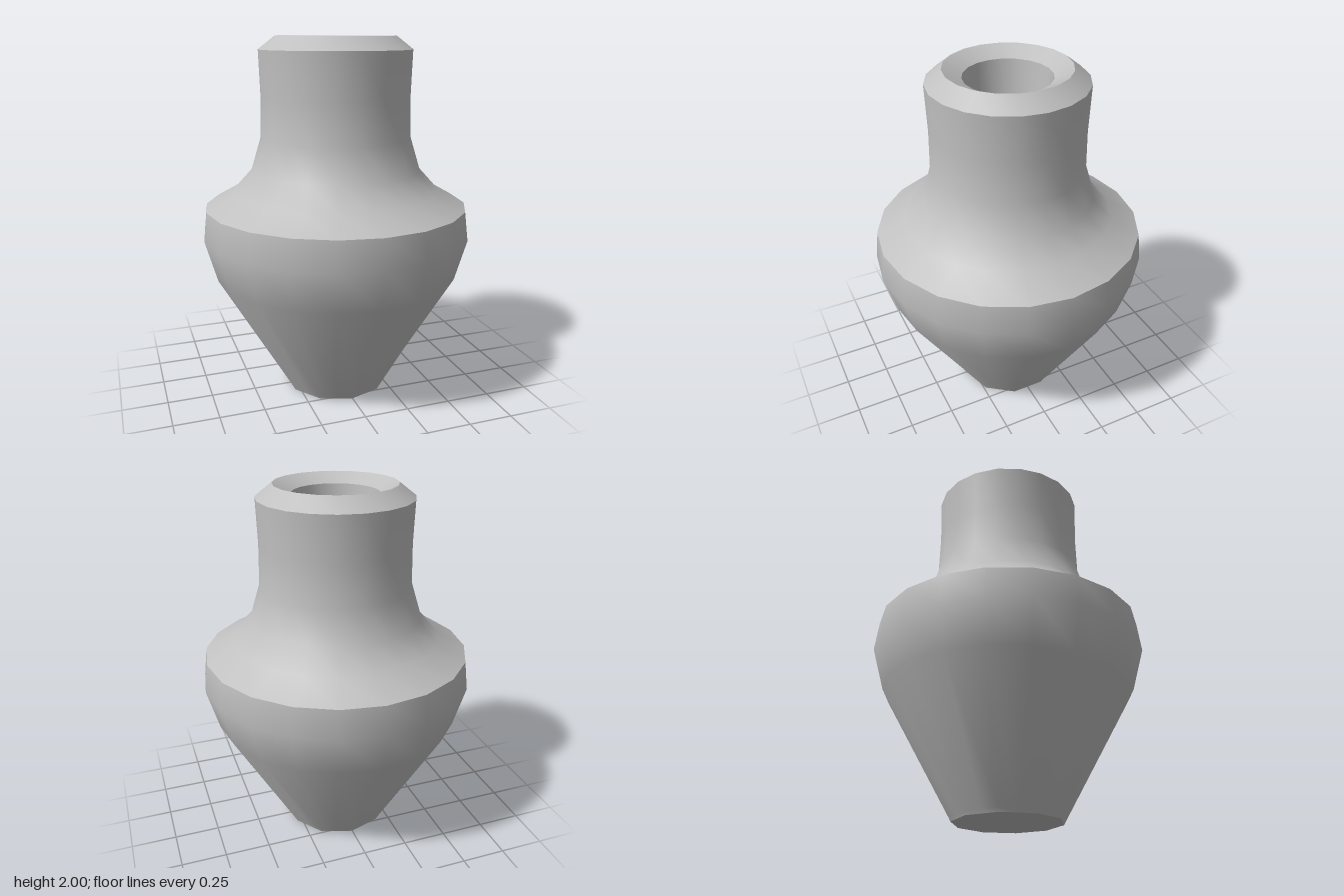
import * as THREE from 'three';
import { toCreasedNormals } from 'three/addons/utils/BufferGeometryUtils.js';

const SIDES = 20;

export function createModel() {
  const clay = new THREE.MeshStandardMaterial({ color: 0xc0c0c0 });
  clay.name = 'grey clay';

  // Profile from the foot, up the outside, over the rim and down the bore
  const profile = [
    [0, 0], [0.295, 0], [0.305, 0.02],                   // foot
    [0.685, 0.69], [0.75, 0.92], [0.73, 1.08],           // belly
    [0.57, 1.17], [0.47, 1.28], [0.415, 1.46],           // shoulder
    [0.41, 1.68], [0.418, 1.93],                         // neck
    [0.328, 2.0], [0.23, 1.95],                          // bevelled rim
    [0.175, 1.1], [0, 0.96],                             // bore with conical bottom
  ].map(([r, y]) => new THREE.Vector2(r, y));

  const geometry = new THREE.LatheGeometry(profile, SIDES);

  // Give the foot half as many sides by pulling every other corner onto its chord
  const pos = geometry.attributes.position;
  const chord = Math.cos((2 * Math.PI) / SIDES);
  for (let side = 1; side < SIDES; side += 2) {
    for (const ring of [1, 2]) {
      const i = side * profile.length + ring;
      pos.setX(i, pos.getX(i) * chord);
      pos.setZ(i, pos.getZ(i) * chord);
    }
  }

  const vase = new THREE.Mesh(toCreasedNormals(geometry, 0.7), clay);
  vase.name = 'vase';

  const group = new THREE.Group();
  group.name = 'vaseModel';
  group.add(vase);
  return group;
}
